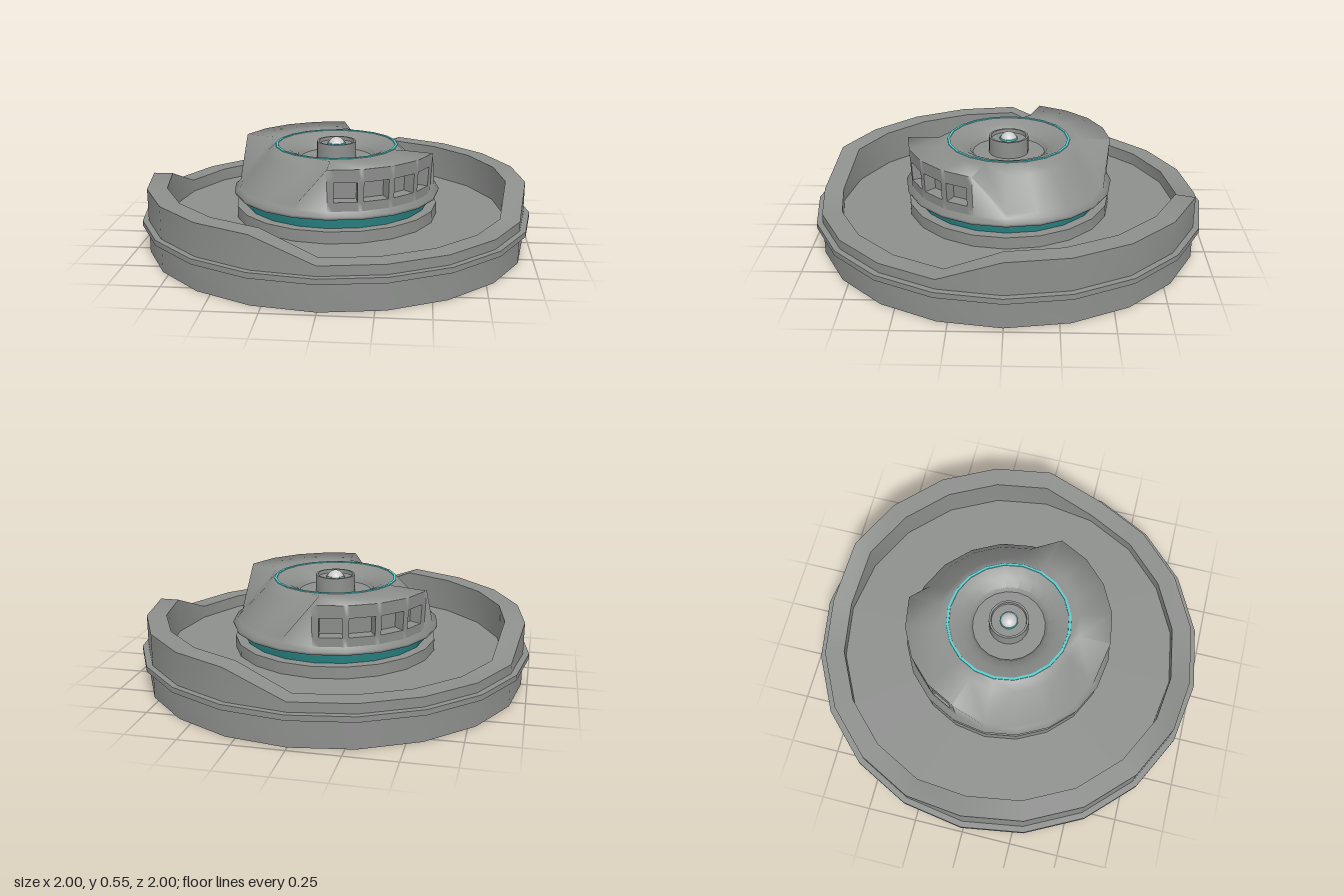
import * as THREE from 'three';
import { toCreasedNormals } from 'three/addons/utils/BufferGeometryUtils.js';

const SIDES = 20;
const GREY = 0x8d8f8d, TEAL = 0x35a3a3, BRIGHT_TEAL = 0x55d0d0;

// The plan has two opposite sectors of four facets where the dish is cut low and the hull stands tall.
const inSector = (k) => k % 10 <= 4;
const isWindowFacet = (k) => k % 10 < 4;

function pushQuad(out, a, b, c, d) {
  for (const p of [a, b, c, a, c, d]) out.push(p.x, p.y, p.z);
}

function makeMesh(name, positions, color = GREY, crease = 0.5) {
  const geo = new THREE.BufferGeometry();
  geo.setAttribute('position', new THREE.Float32BufferAttribute(positions, 3));
  const mesh = new THREE.Mesh(toCreasedNormals(geo, crease), new THREE.MeshStandardMaterial({ color }));
  mesh.name = name;
  return mesh;
}

// Profile entry: [r, y] all round, or [r, y, sectorR, sectorY] where the sectors differ.
function ringPoint(p, k) {
  const i = k % SIDES, a = (i / SIDES) * Math.PI * 2;
  const special = p.length > 2 && inSector(i);
  const r = special ? p[2] : p[0], y = special ? p[3] : p[1];
  return new THREE.Vector3(r * Math.sin(a), y, r * Math.cos(a));
}

// Sweeps a profile (from top centre outward and down) round the axis.
function sweep(profile, skip = () => false) {
  const out = [];
  for (let i = 0; i < profile.length - 1; i++) {
    const p = profile[i], q = profile[i + 1];
    for (let k = 0; k < SIDES; k++) {
      if (skip(i, k)) continue;
      const a = ringPoint(p, k), b = ringPoint(q, k), c = ringPoint(q, k + 1), d = ringPoint(p, k + 1);
      if (p[0] === 0) for (const v of [a, b, c]) out.push(v.x, v.y, v.z);
      else if (q[0] === 0) for (const v of [a, b, d]) out.push(v.x, v.y, v.z);
      // Fold each quad along the diagonal that runs down from the tall sector
      else if (p.length > 2 && !inSector(k)) pushQuad(out, b, c, d, a);
      else pushQuad(out, a, b, c, d);
    }
  }
  return out;
}

// One wall facet: the frame joins the hull, the recess behind it is separate.
function windowFacet(frame, recess, top, bottom, k) {
  const a = ringPoint(top, k), d = ringPoint(top, k + 1);
  const b = ringPoint(bottom, k), c = ringPoint(bottom, k + 1);
  const inward = a.clone().add(d).setY(0).normalize().multiplyScalar(-0.065);
  const at = (u, v) => a.clone().lerp(d, u).lerp(b.clone().lerp(c, u), v);
  const us = [0, k % 10 === 0 ? 0.2 : 0.1, k % 10 === 3 ? 0.8 : 0.9, 1];
  const vs = [0, 0.31, 0.78, 1];
  for (let i = 0; i < 3; i++) {
    for (let j = 0; j < 3; j++) {
      const f = [at(us[i], vs[j]), at(us[i], vs[j + 1]), at(us[i + 1], vs[j + 1]), at(us[i + 1], vs[j])];
      if (i !== 1 || j !== 1) { pushQuad(frame, ...f); continue; }
      const g = f.map((p) => p.clone().add(inward));
      for (let n = 0; n < 4; n++) pushQuad(recess, f[n], f[(n + 1) % 4], g[(n + 1) % 4], g[n]);
      pushQuad(recess, ...g);
    }
  }
}

export function createModel() {
  const group = new THREE.Group();

  // Dish: recessed floor, stepped rim wall, outer band and hollow underside
  group.add(makeMesh('dish', sweep([
    [0, 0.15], [0.87, 0.15], [0.87, 0.33, 0.87, 0.215], [0.97, 0.33, 0.97, 0.215],
    [0.97, 0.167], [1, 0.167], [1, 0.14], [0.97, 0.14], [0.97, 0],
    [0.475, 0], [0.4, 0.06], [0.25, 0.11], [0, 0.13],
  ])));

  // Pedestal and tapered glowing drum below the hull
  group.add(makeMesh('pedestal', sweep([[0, 0.21], [0.52, 0.21], [0.52, 0.15]])));
  group.add(makeMesh('glowDrum', sweep([[0.505, 0.272], [0.47, 0.21]]), TEAL));

  // Hull: tall walled sectors running down into conical sectors, with a lower lip
  const shoulder = [0.495, 0.325, 0.518, 0.512], foot = [0.507, 0.305];
  const hull = [
    [0.3, 0.51], [0.315, 0.51], [0.36, 0.465, 0.36, 0.512],
    shoulder, foot, [0.532, 0.285], [0.527, 0.27], [0.49, 0.268],
  ];
  const wallRow = hull.indexOf(shoulder);
  const hullFaces = sweep(hull, (i, k) => i === wallRow && isWindowFacet(k));
  const recesses = [];
  for (let k = 0; k < SIDES; k++) if (isWindowFacet(k)) windowFacet(hullFaces, recesses, shoulder, foot, k);
  group.add(makeMesh('hull', hullFaces, GREY, 1.7));
  group.add(makeMesh('windowRecesses', recesses));

  // Bowl in the top of the hull, with a glowing trim
  group.add(makeMesh('bowl', sweep([
    [0, 0.44], [0.185, 0.44], [0.2, 0.465], [0.25, 0.495], [0.3, 0.51],
  ])));
  group.add(makeMesh('bowlTrim', sweep([
    [0.301, 0.508], [0.302, 0.514], [0.314, 0.514], [0.315, 0.508],
  ]), BRIGHT_TEAL));

  // Central turret with a glowing ring and a ball in its top
  group.add(makeMesh('turret', sweep([
    [0, 0.51], [0.088, 0.51], [0.09, 0.527], [0.101, 0.527], [0.101, 0.44],
  ])));
  group.add(makeMesh('turretGlow', sweep([[0.03, 0.518], [0.046, 0.518], [0.046, 0.51]]), BRIGHT_TEAL));
  const ball = new THREE.Mesh(
    new THREE.SphereGeometry(0.045, 20, 12),
    new THREE.MeshStandardMaterial({ color: 0xcccccc }),
  );
  ball.name = 'turretBall';
  ball.position.y = 0.502;
  group.add(ball);

  return group;
}
